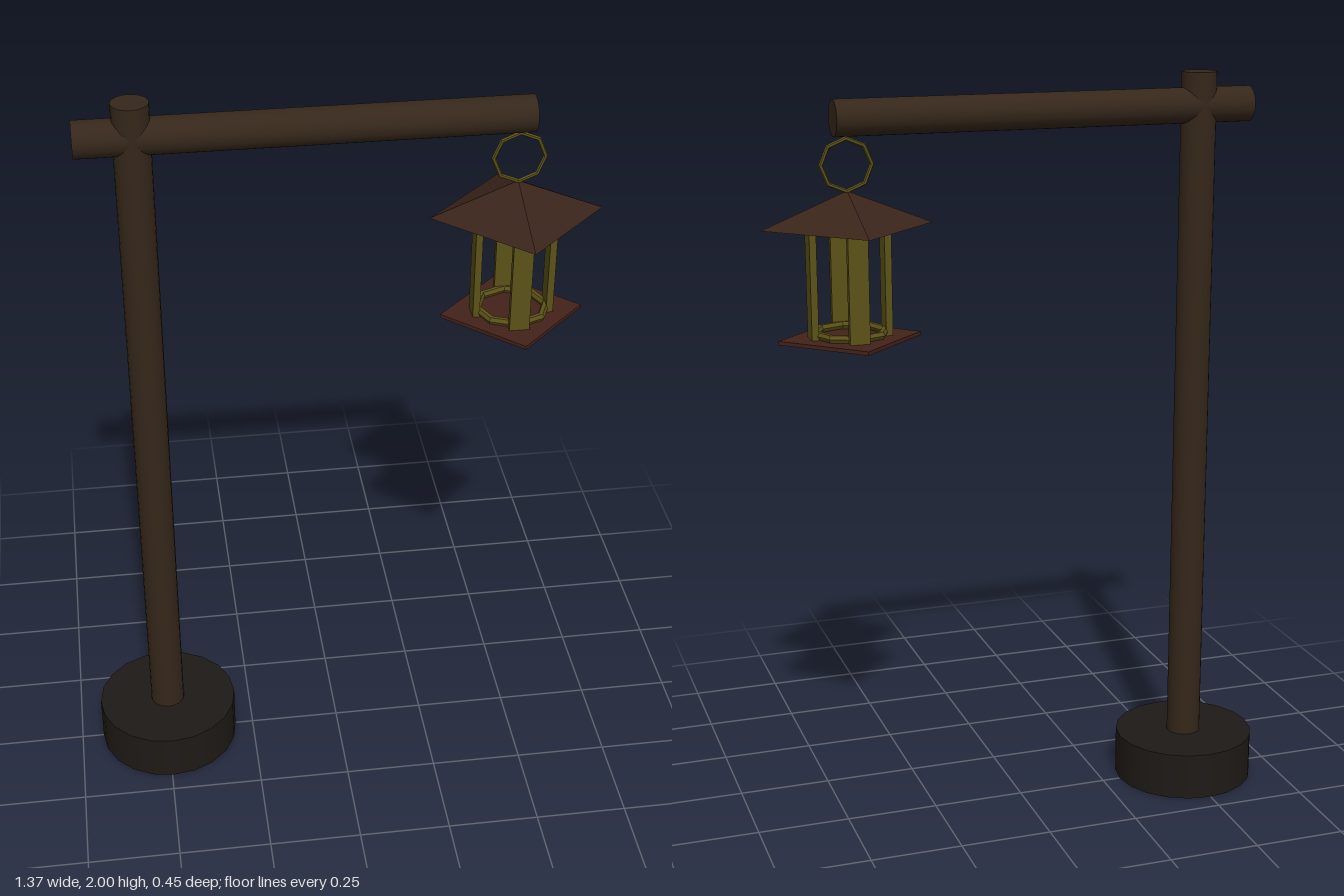
import * as THREE from 'three';

const material = (color, flatShading = false) => {
  const m = new THREE.MeshStandardMaterial({ flatShading });
  m.color.set(color);
  return m;
};

export function createModel() {
  const group = new THREE.Group();
  const wood = material(0x35271a);
  const stone = material(0x1e1a16);
  const roofMat = material(0x3a241a, true);
  const plateMat = material(0x44221a, true);
  const brass = material(0x5c5218, true);

  const add = (parent, name, geometry, mat, x, y, z) => {
    const mesh = new THREE.Mesh(geometry, mat);
    mesh.name = name;
    mesh.position.set(x, y, z);
    parent.add(mesh);
    return mesh;
  };

  // Round foot, upright post and horizontal arm
  const postX = -0.495;
  add(group, 'base', new THREE.CylinderGeometry(0.194, 0.194, 0.13, 20), stone, postX, 0.065, 0);
  add(group, 'post', new THREE.CylinderGeometry(0.047, 0.047, 1.99, 20), wood, postX, 1.005, 0);
  const arm = add(group, 'arm', new THREE.CylinderGeometry(0.047, 0.047, 1.13, 20), wood, -0.073, 1.912, 0);
  arm.rotation.z = Math.PI / 2;

  // Hanging lantern
  const lantern = new THREE.Group();
  lantern.name = 'lantern';
  lantern.position.x = 0.46;
  group.add(lantern);

  add(lantern, 'hangingRing', new THREE.TorusGeometry(0.066, 0.006, 6, 8), brass, 0, 1.795, 0);

  // Four-sided roof and floor, corners on the x and z axes
  add(lantern, 'roof', new THREE.ConeGeometry(0.223, 0.09, 4), roofMat, 0, 1.685, 0);
  add(lantern, 'floor', new THREE.CylinderGeometry(0.187, 0.187, 0.01, 4), plateMat, 0, 1.352, 0);

  // Flat brass uprights, one towards each corner
  for (let i = 0; i < 4; i++) {
    const a = (i * Math.PI) / 2;
    const bar = add(lantern, 'upright', new THREE.BoxGeometry(0.018, 0.285, 0.052), brass,
      Math.cos(a) * 0.097, 1.498, Math.sin(a) * 0.097);
    bar.rotation.y = -a;
  }

  // Ring lying on the floor
  const floorRing = add(lantern, 'floorRing', new THREE.TorusGeometry(0.092, 0.011, 6, 8), brass, 0, 1.368, 0);
  floorRing.rotation.x = Math.PI / 2;

  return group;
}
